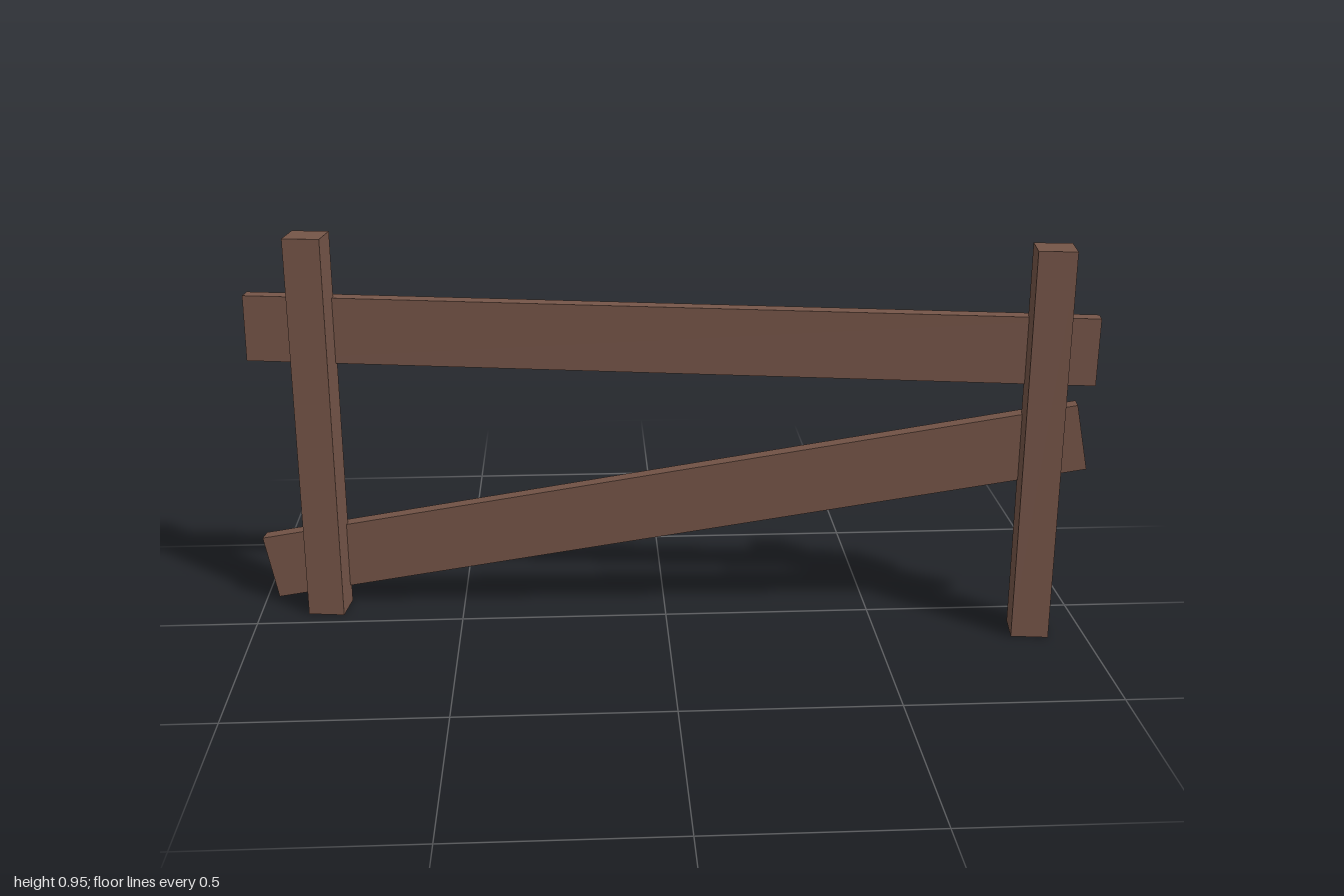
import * as THREE from 'three';

export function createModel() {
  const model = new THREE.Group();
  model.name = 'woodenFence';

  const wood = new THREE.MeshStandardMaterial({ color: 0x755548 });
  wood.name = 'brown wood';

  // The fence runs along its own x axis and is turned a little about y
  const fence = new THREE.Group();
  fence.name = 'fence';
  fence.position.z = -0.0305;
  fence.rotation.y = -0.1275;
  model.add(fence);

  function beam(name, size, position, tilt = 0) {
    const mesh = new THREE.Mesh(new THREE.BoxGeometry(...size), wood);
    mesh.name = name;
    mesh.position.set(...position);
    mesh.rotation.z = tilt;
    fence.add(mesh);
  }

  // Square posts, with the rails let slightly into their backs
  const postHeight = 0.946;
  const post = [0.088, postHeight, 0.088];
  beam('leftPost', post, [0.885, postHeight / 2, 0.049]);
  beam('rightPost', post, [-0.833, postHeight / 2, 0.049]);

  // Rails: the upper nearly level, the lower fallen at one end
  const rail = [2.011, 0.161, 0.038];
  beam('upperRail', rail, [0, 0.701, 0], -0.0085);
  beam('fallenRail', rail, [-0.002, 0.287, 0], 0.198);

  return model;
}
